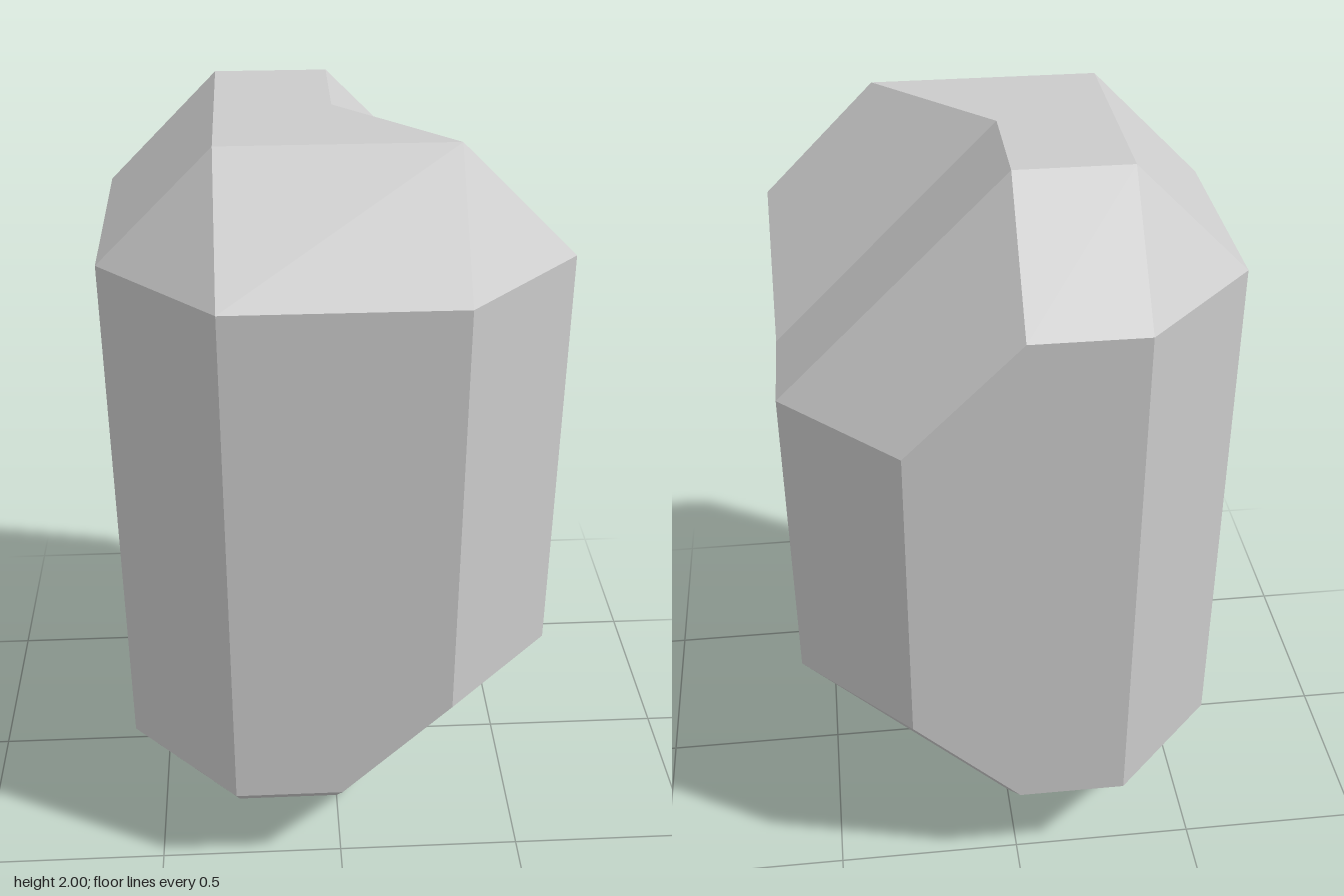
import * as THREE from 'three';

const U = 2 / 7; // all sections are laid out on a grid of this pitch

export function createModel() {
  // Eight-sided sections [x, y], counter-clockwise seen from the front
  const notched = [[-2, 1], [-1, 0], [0, 0], [2, 2], [2, 5], [0, 7], [-1, 7], [-2, 6]];
  const full = [[-2, 1], [-1, 0], [0, 0], [2, 2], [2, 6], [1, 7], [-1, 7], [-2, 6]];
  const backEnd = [[-1, 1], [-1, 1], [0, 1], [1, 2], [1, 5], [0, 6], [-1, 6], [-1, 6]];
  const frontEnd = [[-1, 1], [-1, 1], [0, 1], [1, 2], [1, 6], [1, 6], [-1, 6], [-1, 6]];

  // Sections from back to front; the upper right corner is cut away behind z = 0
  const rings = [backEnd, notched, notched, full, frontEnd].map((ring, k) =>
    ring.map(([x, y]) => new THREE.Vector3(x, y, k - 2).multiplyScalar(U)));

  const positions = [];
  const addTriangle = (a, b, c) => {
    if (a.equals(b) || b.equals(c) || c.equals(a)) return; // collapsed corner
    for (const p of [a, b, c]) positions.push(p.x, p.y, p.z);
  };

  // Skin between neighbouring sections
  for (let k = 0; k < rings.length - 1; k++) {
    const back = rings[k], front = rings[k + 1];
    for (let i = 0; i < 8; i++) {
      const j = (i + 1) % 8;
      addTriangle(back[i], back[j], front[j]);
      addTriangle(back[i], front[j], front[i]);
    }
  }

  // Flat back and front
  const first = rings[0], last = rings[rings.length - 1];
  for (let i = 1; i < 7; i++) {
    addTriangle(first[0], first[i + 1], first[i]);
    addTriangle(last[0], last[i], last[i + 1]);
  }

  const geometry = new THREE.BufferGeometry();
  geometry.setAttribute('position', new THREE.Float32BufferAttribute(positions, 3));
  geometry.computeVertexNormals();

  const body = new THREE.Mesh(geometry,
    new THREE.MeshStandardMaterial({ color: 0xcccccc, flatShading: true }));
  body.name = 'facetedStone';

  const model = new THREE.Group();
  model.name = 'stone';
  model.add(body);
  return model;
}
